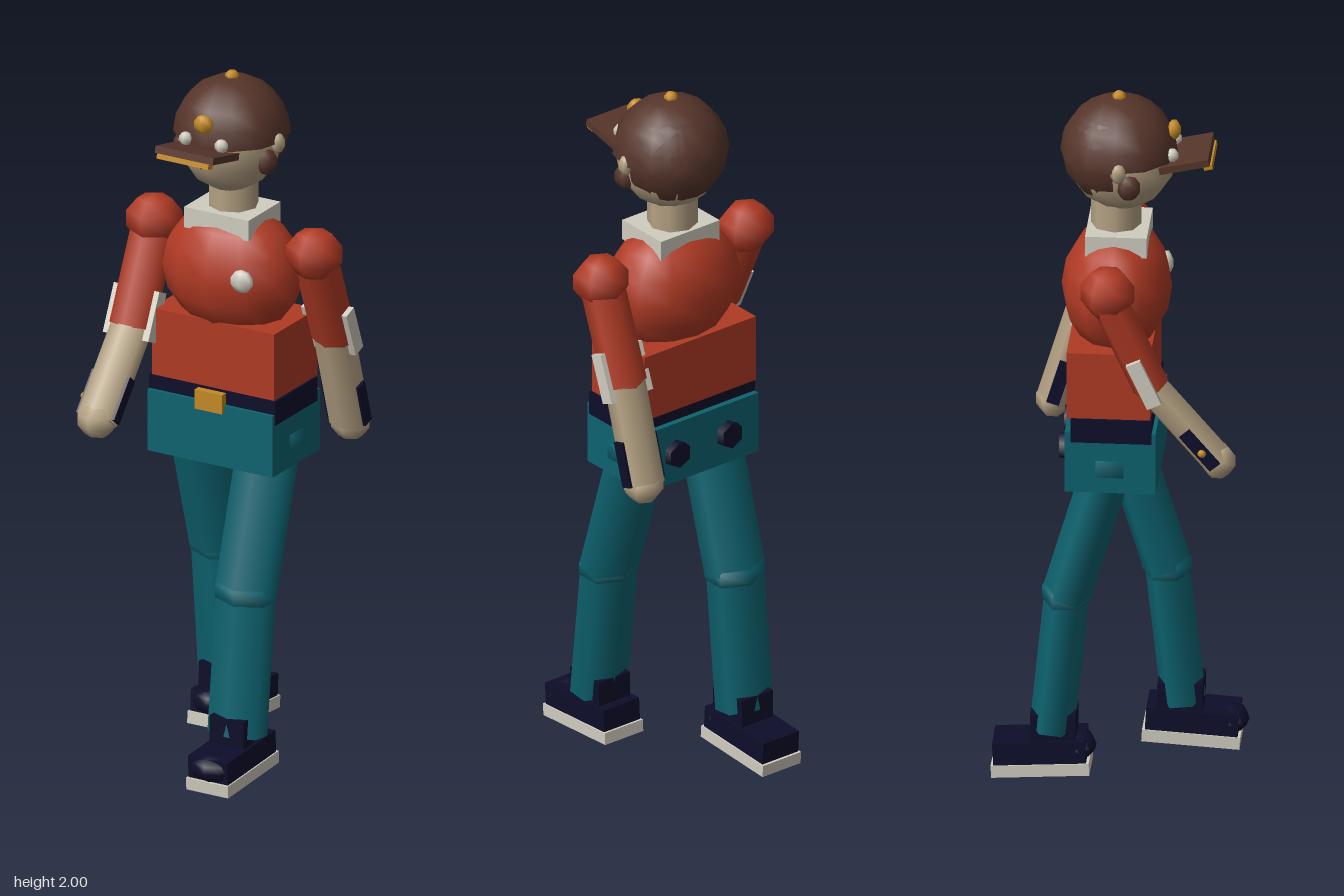
import * as THREE from 'three';

const mat = (name, color) => {
  const m = new THREE.MeshStandardMaterial({ color });
  m.name = name;
  return m;
};

export function createModel() {
  const red = mat('rust red', 0xb03a24);
  const teal = mat('teal', 0x0d6370);
  const navy = mat('navy', 0x0d0d2a);
  const skin = mat('skin tan', 0xb5a283);
  const cream = mat('cream', 0xd0ccc0);
  const brown = mat('brown', 0x56352a);
  const gold = mat('gold', 0xc48a24);

  const model = new THREE.Group();
  model.name = 'walkingFigure';

  const add = (name, geo, m, x, y, z, parent = model) => {
    const mesh = new THREE.Mesh(geo, m);
    mesh.name = name;
    mesh.position.set(x, y, z);
    parent.add(mesh);
    return mesh;
  };
  const box = (name, m, w, h, d, x, y, z, parent) =>
    add(name, new THREE.BoxGeometry(w, h, d), m, x, y, z, parent);
  // Low-poly ellipsoid with a vertex edge facing front
  const ball = (name, m, rx, ry, rz, x, y, z, parent, seg = 6, rings = 5) =>
    add(name, new THREE.SphereGeometry(1, seg, rings).rotateY(Math.PI / 2).scale(rx, ry, rz), m, x, y, z, parent);
  // Six-sided limb between two [y, z] points; the group's y axis runs along it
  const limb = (name, m, x, top, bottom, rx, rz) => {
    const dy = top[0] - bottom[0], dz = top[1] - bottom[1];
    const g = new THREE.Group();
    g.name = name;
    g.position.set(x, (top[0] + bottom[0]) / 2, (top[1] + bottom[1]) / 2);
    g.rotation.x = Math.atan2(dz, dy);
    const geo = new THREE.CylinderGeometry(1, 1, Math.hypot(dy, dz), 6).scale(rx / 0.866, 1, rz);
    add(name + 'Tube', geo, m, 0, 0, 0, g);
    model.add(g);
    return g;
  };

  // Torso
  box('pelvis', teal, 0.4, 0.18, 0.25, 0, 0.97, -0.013);
  box('belt', navy, 0.405, 0.07, 0.222, 0, 1.065, -0.01);
  box('buckle', gold, 0.088, 0.056, 0.03, 0, 1.066, 0.108);
  box('belly', red, 0.392, 0.196, 0.23, 0, 1.197, -0.018);
  ball('chest', red, 0.21, 0.185, 0.152, 0, 1.42, -0.01, model, 12, 8);
  ball('badge', cream, 0.036, 0.034, 0.02, 0.105, 1.44, 0.118);
  for (const s of [-1, 1]) {
    add('backButton', new THREE.CylinderGeometry(0.038, 0.042, 0.03, 6).rotateX(-Math.PI / 2),
      navy, s * 0.092, 0.97, -0.145);
  }
  box('collar', cream, 0.206, 0.06, 0.17, 0, 1.575, -0.005);
  add('neck', new THREE.CylinderGeometry(0.07, 0.07, 0.12, 8), skin, 0, 1.64, -0.012);

  // Head, hair and cap
  ball('head', skin, 0.145, 0.15, 0.15, 0, 1.808, 0.003, model, 12, 8);
  add('hair', new THREE.SphereGeometry(0.155, 8, 8, 0, Math.PI).rotateY(Math.PI).scale(1, 0.97, 1),
    brown, 0, 1.83, -0.01).material.side = THREE.DoubleSide;
  add('cap', new THREE.SphereGeometry(0.162, 12, 5, 0, Math.PI * 2, 0, Math.PI / 2)
    .rotateY(Math.PI / 2), brown, 0, 1.822, -0.004);
  ball('capButton', gold, 0.02, 0.017, 0.02, 0, 1.984, -0.004);
  ball('capEmblem', gold, 0.03, 0.028, 0.02, 0, 1.89, 0.147);
  const brim = new THREE.Group();
  brim.name = 'brim';
  brim.position.set(0, 1.815, 0.18);
  brim.rotation.x = -0.22;
  model.add(brim);
  box('brimPlate', brown, 0.186, 0.02, 0.14, 0, 0.003, 0.002, brim);
  box('brimTrim', gold, 0.165, 0.014, 0.024, 0, -0.014, 0.065, brim);
  add('nose', new THREE.ConeGeometry(0.027, 0.042, 6).rotateX(Math.PI), brown, 0, 1.782, 0.16);
  for (const s of [-1, 1]) {
    ball('eye', cream, 0.02, 0.02, 0.018, s * 0.057, 1.838, 0.147);
    ball('ear', skin, 0.02, 0.03, 0.022, s * 0.152, 1.82, 0.005);
    ball('sideburn', brown, 0.03, 0.038, 0.034, s * 0.132, 1.77, 0.032);
  }

  // Arms: s is the side, w the swing direction along z
  const arm = (s, elbow, wrist) => {
    const x = s * 0.256;
    ball('shoulder', red, 0.083, 0.074, 0.078, x, 1.508, -0.016);
    const upper = limb('upperArm', red, x, [1.5, -0.02], elbow, 0.057, 0.052);
    box('cuff', cream, 0.146, 0.14, 0.042, 0, -0.11, 0, upper);
    ball('elbow', red, 0.06, 0.045, 0.05, x, elbow[0], elbow[1]);
    const fore = limb('forearm', skin, x, elbow, wrist, 0.053, 0.047);
    box('wristBand', navy, 0.122, 0.13, 0.036, 0, -0.07, 0, fore);
    ball('hand', skin, 0.058, 0.05, 0.05, x, wrist[0], wrist[1]);
    return fore;
  };
  arm(1, [1.23, -0.122], [0.95, -0.206]);
  const rightForearm = arm(-1, [1.23, 0.105], [1.015, 0.288]);
  ball('wristStud', gold, 0.012, 0.012, 0.012, -0.063, -0.08, 0, rightForearm);

  // Legs and shoes
  const leg = (s, knee, ankle, shoeZ, tilt) => {
    const x = s * 0.118;
    ball('hip', teal, 0.1, 0.08, 0.08, x, 0.95, -0.015);
    limb('thigh', teal, x, [0.96, -0.015], knee, 0.08, 0.068);
    ball('knee', teal, 0.095, 0.06, 0.072, x, knee[0], knee[1]);
    limb('shin', teal, x, knee, ankle, 0.077, 0.062);
    box('ankleCuff', navy, 0.11, 0.09, 0.125, x, 0.145, ankle[1] - s * 0.005);

    const shoe = new THREE.Group();
    shoe.name = 'shoe';
    shoe.position.set(x, 0.01, shoeZ);
    shoe.rotation.x = tilt;
    model.add(shoe);
    box('sole', cream, 0.134, 0.035, 0.27, 0, 0.019, -0.006, shoe);
    box('shoeUpper', navy, 0.126, 0.066, 0.255, 0, 0.068, -0.006, shoe);
    ball('toeCap', navy, 0.068, 0.038, 0.05, 0, 0.068, 0.098, shoe, 8, 6);
  };
  leg(1, [0.53, 0.118], [0.13, 0.163], 0.193, 0.06);
  leg(-1, [0.54, -0.138], [0.14, -0.178], -0.2, -0.06);

  return model;
}
